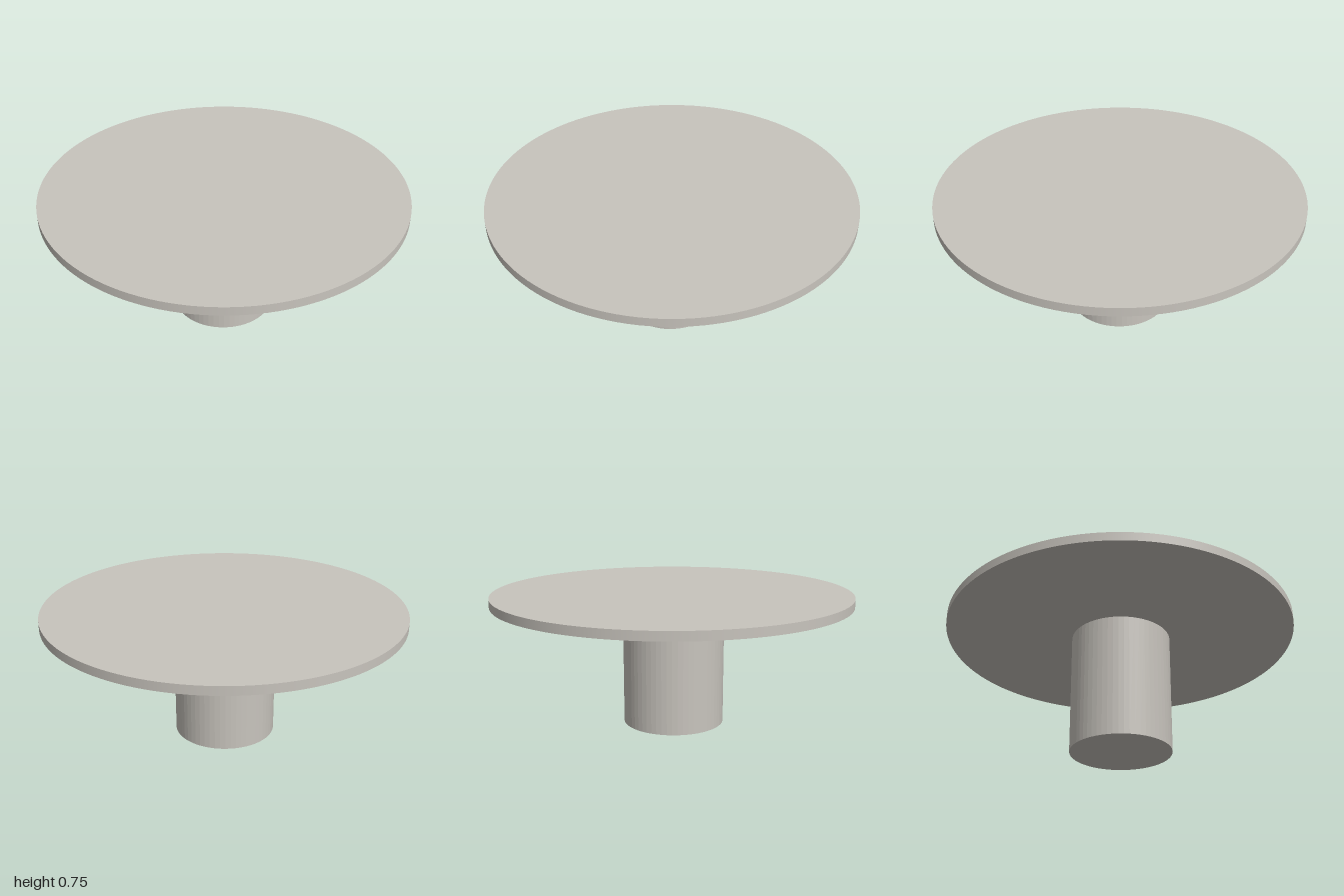
import * as THREE from 'three';

export function createModel() {
  const model = new THREE.Group();
  model.name = 'pedestalTable';

  const stone = new THREE.MeshStandardMaterial({ color: 0xc8c4bd });
  stone.name = 'warm grey stone';
  const facetedStone = stone.clone();
  facetedStone.flatShading = true;

  // Upright disc standing between two heights
  function addDisc(name, radius, bottom, top, sides, material) {
    const geometry = new THREE.CylinderGeometry(radius, radius, top - bottom, sides);
    const mesh = new THREE.Mesh(geometry, material);
    mesh.name = name;
    mesh.position.y = (bottom + top) / 2;
    model.add(mesh);
    return mesh;
  }

  // Thin round top with a smooth rim
  addDisc('tableTop', 1, 0.697, 0.745, 128, stone);

  // Finely faceted column, set slightly forward of centre
  const column = addDisc('pedestalColumn', 0.284, 0, 0.697, 60, facetedStone);
  column.position.x = -0.002;
  column.position.z = 0.009;

  return model;
}
